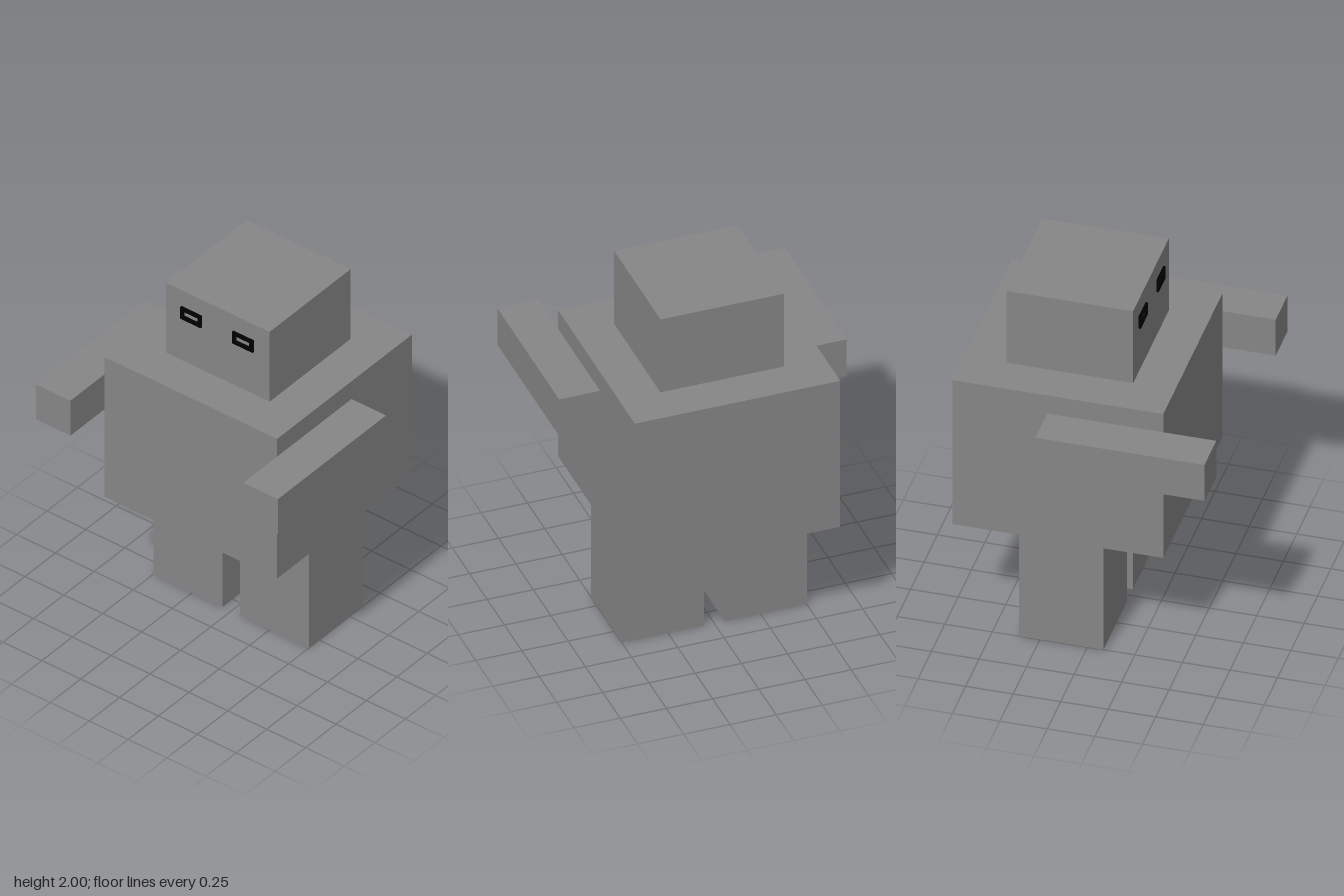
import * as THREE from 'three';

const grey = new THREE.MeshStandardMaterial({ color: 0x868686, flatShading: true });
const black = new THREE.MeshStandardMaterial({ color: 0x000000, flatShading: true });

// Box given by its centre x, width and its y and z ranges
function block(name, x, width, [y0, y1], [z0, z1]) {
  const mesh = new THREE.Mesh(new THREE.BoxGeometry(width, y1 - y0, z1 - z0), grey);
  mesh.name = name;
  mesh.position.set(x, (y0 + y1) / 2, (z0 + z1) / 2);
  return mesh;
}

// Rectangular eye rim with an open middle
function eyeFrame(name, x) {
  const w = 0.066, h = 0.037, rim = 0.021;
  const shape = new THREE.Shape([
    new THREE.Vector2(-w, -h), new THREE.Vector2(w, -h),
    new THREE.Vector2(w, h), new THREE.Vector2(-w, h),
  ]);
  const a = w - rim, b = h - rim;
  shape.holes.push(new THREE.Path([
    new THREE.Vector2(-a, -b), new THREE.Vector2(-a, b),
    new THREE.Vector2(a, b), new THREE.Vector2(a, -b),
  ]));
  const geometry = new THREE.ExtrudeGeometry(shape, { depth: 0.014, bevelEnabled: false });
  const mesh = new THREE.Mesh(geometry, black);
  mesh.name = name;
  mesh.position.set(x, 1.863, 0.192);
  return mesh;
}

export function createModel() {
  const model = new THREE.Group();
  model.name = 'blockFigure';

  model.add(block('torso', 0, 1.111, [0.667, 1.556], [-0.694, 0.415]));
  model.add(block('head', 0, 0.667, [1.556, 2], [-0.472, 0.194]));

  // Paired limbs and eyes
  for (const [side, s] of [['left', 1], ['right', -1]]) {
    model.add(block(side + 'Arm', s * 0.667, 0.222, [1.222, 1.444], [-0.195, 0.694]));
    model.add(block(side + 'Leg', s * 0.278, 0.444, [0, 0.667], [-0.36, 0.084]));
    model.add(eyeFrame(side + 'EyeFrame', s * 0.167));
  }
  return model;
}
